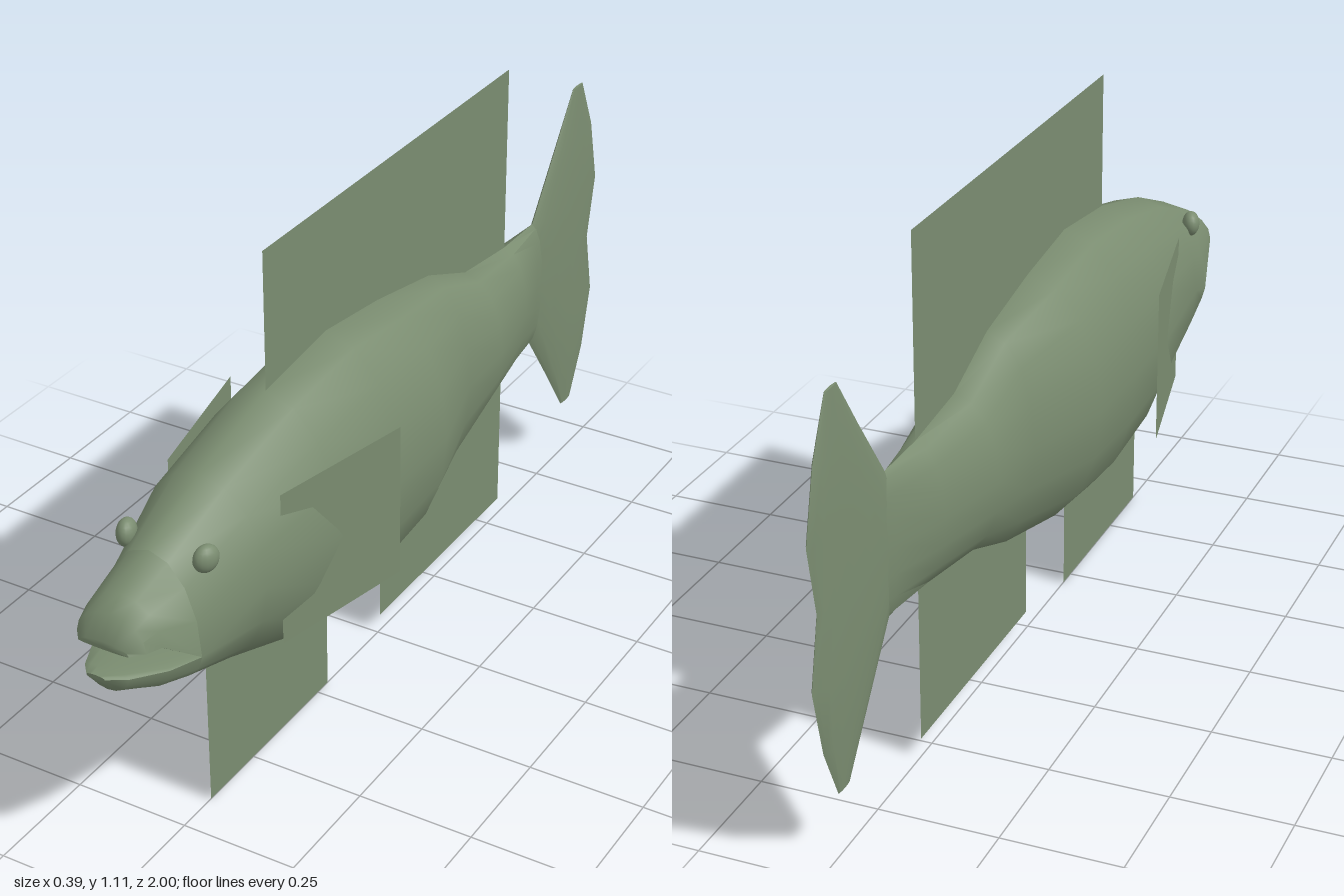
import * as THREE from 'three';
import { toCreasedNormals } from 'three/addons/utils/BufferGeometryUtils.js';

const SIDES = 16;

// Skin a list of closed rings (each an array of [x, y, z]) and cap both ends.
function loft(rings) {
  const n = rings[0].length;
  const pos = rings.flat(2);
  const index = [];
  for (let i = 0; i < rings.length - 1; i++) {
    for (let j = 0; j < n; j++) {
      const a = i * n + j, b = i * n + (j + 1) % n;
      index.push(a, b, b + n, a, b + n, a + n);
    }
  }
  const cap = (r, flip) => {
    const c = pos.length / 3;
    for (let k = 0; k < 3; k++) pos.push(rings[r].reduce((s, p) => s + p[k], 0) / n);
    for (let j = 0; j < n; j++) {
      const a = r * n + j, b = r * n + (j + 1) % n;
      index.push(c, flip ? b : a, flip ? a : b);
    }
  };
  cap(0, true);
  cap(rings.length - 1, false);
  const g = new THREE.BufferGeometry();
  g.setAttribute('position', new THREE.Float32BufferAttribute(pos, 3));
  g.setIndex(index);
  return toCreasedNormals(g, 0.9);
}

// Upright oval ring: z, top, bottom, half width, height of the widest line.
function oval([z, top, bottom, w, mid = (top + bottom) / 2]) {
  return Array.from({ length: SIDES }, (_, j) => {
    const a = j / SIDES * Math.PI * 2, s = Math.sin(a);
    return [w * Math.cos(a), mid + s * (s > 0 ? top - mid : mid - bottom), z];
  });
}

// Flat-lying lens ring for the tail: y, front z, back z, half thickness.
function lens([y, front, back, w]) {
  return Array.from({ length: SIDES }, (_, j) => {
    const a = j / SIDES * Math.PI * 2;
    return [w * Math.cos(a), y, (front + back) / 2 - Math.sin(a) * (front - back) / 2];
  });
}

export function createModel() {
  const fish = new THREE.Group();
  fish.name = 'fish';
  const skin = new THREE.MeshStandardMaterial({ color: 0x7a8c70 });
  const finSkin = skin.clone();
  finSkin.side = THREE.DoubleSide;

  const add = (name, geometry, material = skin) => {
    const mesh = new THREE.Mesh(geometry, material);
    mesh.name = name;
    fish.add(mesh);
    return mesh;
  };

  // Trunk, from the tail root to the mouth corner
  add('body', loft([
    [-0.72, 0.68, 0.395, 0.014],
    [-0.68, 0.69, 0.385, 0.02],
    [-0.55, 0.69, 0.385, 0.06],
    [-0.37, 0.71, 0.365, 0.095],
    [-0.21, 0.775, 0.3, 0.102],
    [0, 0.815, 0.26, 0.163],
    [0.2, 0.84, 0.235, 0.166],
    [0.42, 0.815, 0.255, 0.16],
    [0.65, 0.755, 0.345, 0.143],
    [0.82, 0.685, 0.412, 0.108, 0.487],
  ].map(oval)));

  // Open mouth: flat-bottomed snout above, flat-topped jaw below
  add('upperJaw', loft([
    [0.82, 0.685, 0.485, 0.108, 0.487],
    [0.91, 0.643, 0.553, 0.086, 0.556],
    [0.945, 0.62, 0.556, 0.076, 0.56],
    [0.97, 0.575, 0.558, 0.055, 0.561],
  ].map(oval)));
  add('lowerJaw', loft([
    [0.82, 0.49, 0.412, 0.108, 0.487],
    [0.89, 0.5, 0.432, 0.085, 0.492],
    [0.965, 0.514, 0.468, 0.048, 0.506],
    [0.998, 0.52, 0.508, 0.02, 0.516],
  ].map(oval)));

  // Forked tail, built upwards through its mirrored halves
  const half = [
    [0, -0.6, -0.97, 0.018],
    [0.145, -0.68, -1, 0.017],
    [0.29, -0.785, -0.965, 0.011],
    [0.405, -0.865, -0.912, 0.003],
  ];
  const lower = half.slice(1).reverse().map(([y, ...r]) => [-y, ...r]);
  add('tailFin', loft([...lower, ...half].map(([y, ...r]) => lens([y + 0.54, ...r]))));

  // Flat upright fins: front z, back z, bottom y, top y
  const fin = (name, z0, z1, y0, y1) => {
    const mesh = add(name, new THREE.PlaneGeometry(z0 - z1, y1 - y0), finSkin);
    mesh.rotation.y = Math.PI / 2;
    mesh.position.set(0, (y0 + y1) / 2, (z0 + z1) / 2);
  };
  fin('dorsalFin', 0.42, -0.55, 0.62, 1.11);
  fin('pelvicFin', 0.655, 0.21, 0, 0.4);
  fin('analFin', -0.01, -0.55, 0.04, 0.45);

  // Paired side fins flaring backwards, and eyes
  for (const s of [1, -1]) {
    const side = s > 0 ? 'left' : 'right';
    const dx = 0.07, dz = 0.325;
    const sideFin = add(side + 'SideFin', new THREE.PlaneGeometry(Math.hypot(dx, dz), 0.335), finSkin);
    sideFin.position.set(s * 0.16, 0.537, 0.41);
    sideFin.rotation.y = Math.atan2(dz, s * dx);

    const eye = add(side + 'Eye', new THREE.SphereGeometry(0.028, 16, 12));
    eye.scale.x = 0.7;
    eye.rotation.y = -s * 0.3;
    eye.position.set(s * 0.087, 0.664, 0.765);
  }
  return fish;
}
